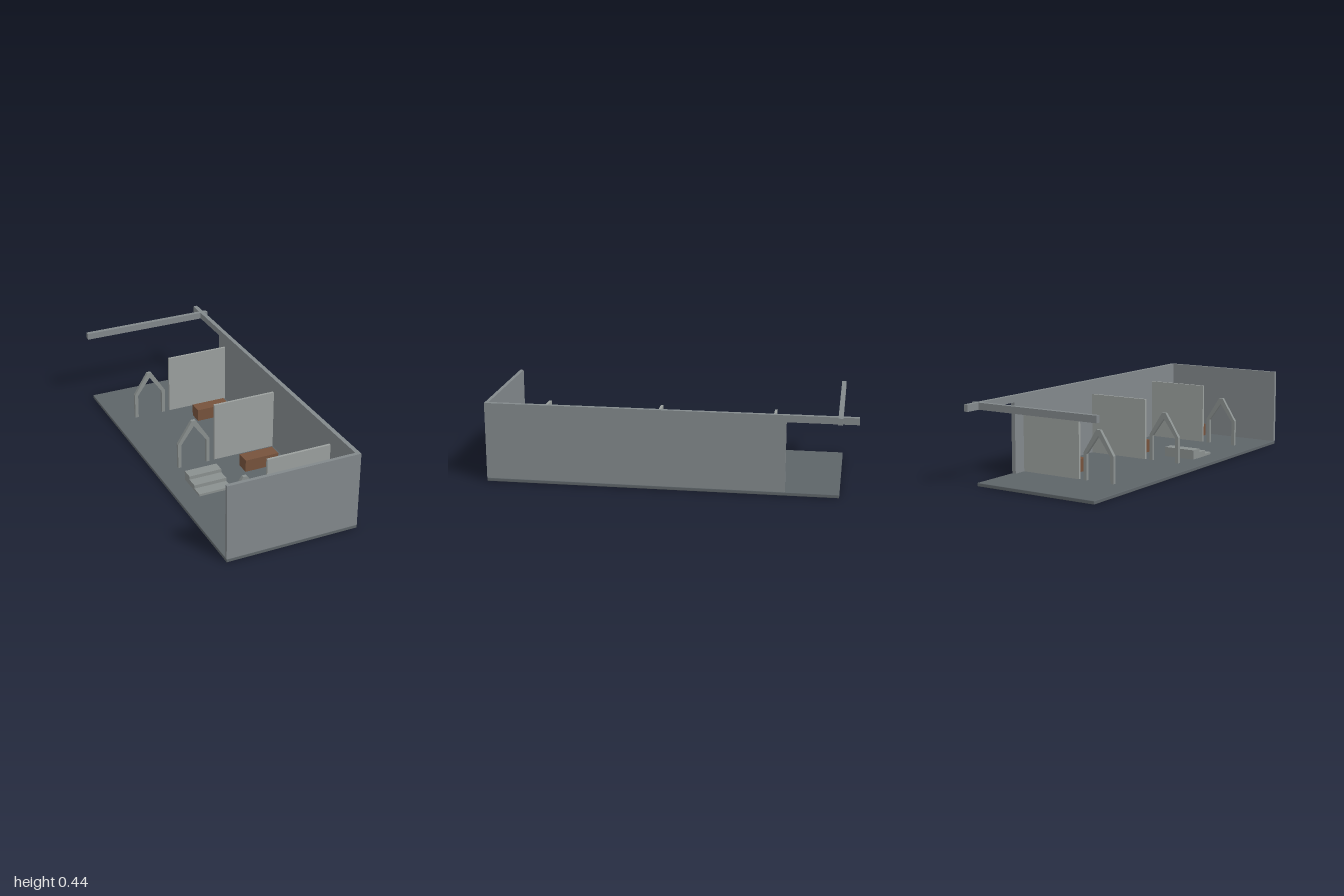
import * as THREE from 'three';
import { RoundedBoxGeometry } from 'three/addons/geometries/RoundedBoxGeometry.js';

const paint = (color) => new THREE.MeshStandardMaterial({ color, flatShading: true });
const wallGrey = paint(0x82888b);
const floorGrey = paint(0x5d6468);
const panelGrey = paint(0x9ba09e);
const fittingGrey = paint(0x8a908f);
const brown = paint(0x76523c);

const FLOOR = 0.019; // top of the floor slab
const TOP = 0.442;   // top of walls and beams

// Box given by its minimum and maximum corners
function box(name, x0, x1, y0, y1, z0, z1, material) {
  const mesh = new THREE.Mesh(new THREE.BoxGeometry(x1 - x0, y1 - y0, z1 - z0), material);
  mesh.position.set((x0 + x1) / 2, (y0 + y1) / 2, (z0 + z1) / 2);
  mesh.name = name;
  return mesh;
}

// Outline drawn in x and y, extruded along z and centred on z = 0
function extrude(points, depth) {
  const shape = new THREE.Shape(points.map(([x, y]) => new THREE.Vector2(x, y)));
  return new THREE.ExtrudeGeometry(shape, { depth, bevelEnabled: false }).translate(0, 0, -depth / 2);
}

export function createModel() {
  const model = new THREE.Group();
  model.name = 'stallBuilding';

  // Floor slab with softly rounded edges
  const floor = new THREE.Mesh(new RoundedBoxGeometry(0.74, FLOOR, 1.909, 2, 0.003), floorGrey);
  floor.name = 'floor';
  floor.position.set(0, FLOOR / 2, 0.0455);
  model.add(floor);

  // Two solid walls
  model.add(
    box('sideWall', 0.345, 0.369, FLOOR, TOP, -0.623, 1, wallGrey),
    box('frontWall', -0.37, 0.345, FLOOR, TOP, 0.98, 1, wallGrey)
  );

  // Overhead beams at the open back end
  model.add(
    box('sideBeam', 0.345, 0.37, 0.405, TOP, -1, -0.623, wallGrey),
    box('crossBeam', -0.39, 0.39, 0.405, TOP, -0.915, -0.89, wallGrey)
  );

  // Pointed arch: two posts joined by sloping rafters
  const h = 0.095, w = 0.02, eave = 0.165, apex = 0.295;
  const archGeometry = extrude([
    [-h, FLOOR], [-h + w, FLOOR], [-h + w, eave - 0.005], [0, apex - 0.032],
    [h - w, eave - 0.005], [h - w, FLOOR], [h, FLOOR], [h, eave],
    [0.012, apex], [-0.012, apex], [-h, eave]
  ], 0.019);

  // Three bays, each with a partition, an arch and a bench
  [-0.543, 0.093, 0.732].forEach((z, i) => {
    const bay = new THREE.Group();
    bay.name = `bay${i + 1}`;
    const arch = new THREE.Mesh(archGeometry, fittingGrey);
    arch.name = 'arch';
    arch.position.set(-0.145, 0, z);
    const benchZ = [-0.382, 0.254, 0.891][i];
    bay.add(
      box('partition', -0.02, 0.345, FLOOR, 0.361, z - 0.007, z + 0.007, panelGrey),
      arch,
      box('bench', 0.08, 0.28, FLOOR, 0.09, benchZ - 0.039, benchZ + 0.039, brown)
    );
    model.add(bay);
  });

  // Steps, highest toward the back
  const steps = new THREE.Group();
  steps.name = 'steps';
  for (let i = 0; i < 3; i++) {
    const z = 0.225 + i * 0.064;
    steps.add(box(`step${i + 1}`, -0.255, -0.066, FLOOR, 0.072 - i * 0.02, z, z + 0.064, fittingGrey));
  }
  model.add(steps);

  return model;
}
